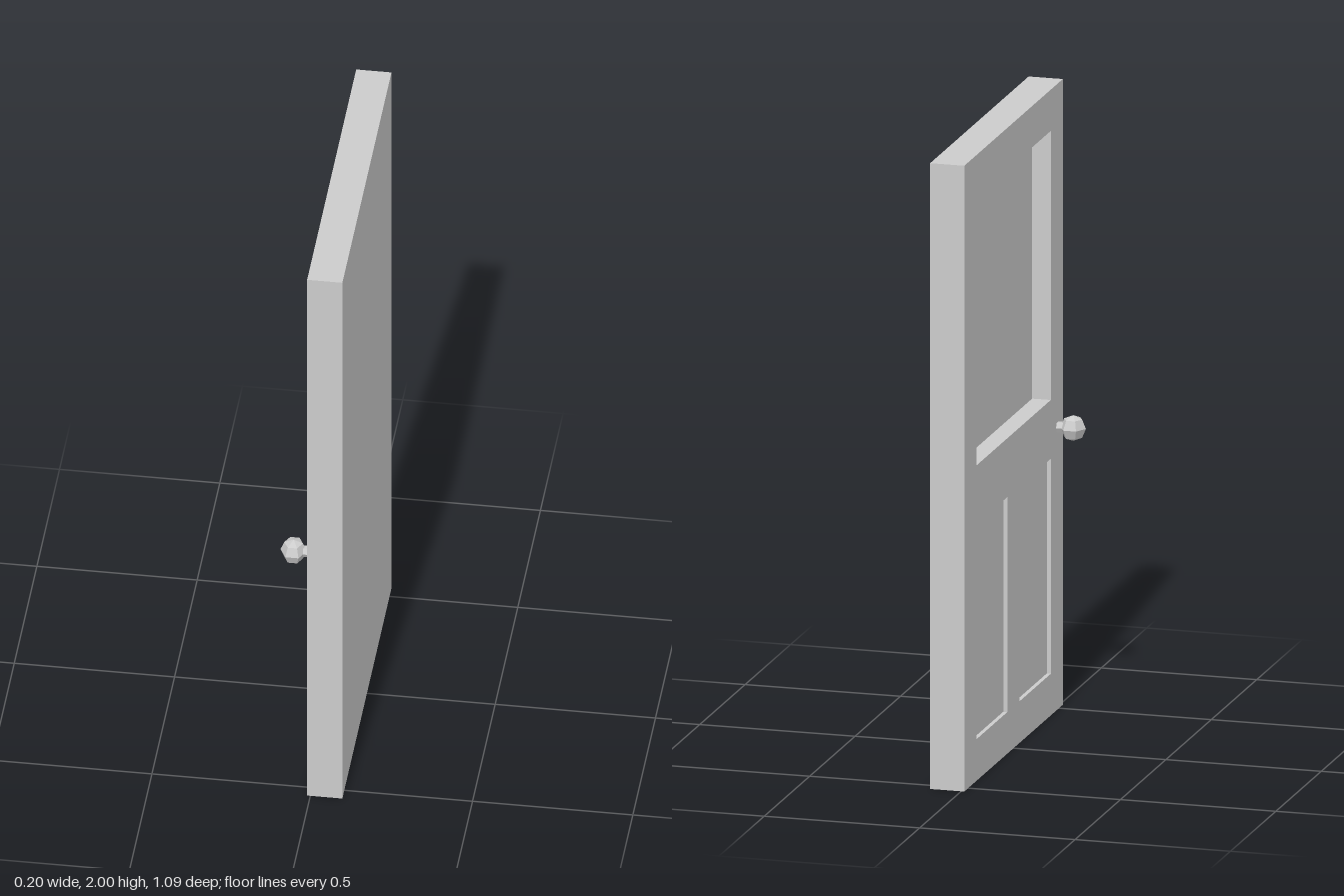
import * as THREE from 'three';

const X0 = -0.01, X1 = 0.10, HALF = 0.5425, HEIGHT = 2;

// Recessed panels: z range, y range, depth
const PANELS = [
  { name: 'upperPanel', z: [-0.41, 0.41], y: [1.008, 1.868], depth: 0.06 },
  { name: 'lowerPanelBack', z: [-0.41, -0.068], y: [0.133, 0.82], depth: 0.013 },
  { name: 'lowerPanelFront', z: [0.068, 0.41], y: [0.133, 0.82], depth: 0.013 },
];

const material = new THREE.MeshStandardMaterial({ color: 0xcccccc, flatShading: true });

function addMesh(parent, name, geometry) {
  const mesh = new THREE.Mesh(geometry, material);
  mesh.name = name;
  parent.add(mesh);
  return mesh;
}

// Box without its -x side; inward turns the faces to the inside
function openBox(x, y, z, inward) {
  const g = new THREE.BoxGeometry(x[1] - x[0], y[1] - y[0], z[1] - z[0]);
  g.translate((x[0] + x[1]) / 2, (y[0] + y[1]) / 2, (z[0] + z[1]) / 2);
  const index = Array.from(g.index.array);
  index.splice(6, 6);
  if (inward) index.reverse();
  g.setIndex(index);
  g.clearGroups();
  g.computeVertexNormals();
  return g;
}

function rectangle(target, z, y) {
  target.moveTo(z[0], y[0]);
  target.lineTo(z[1], y[0]);
  target.lineTo(z[1], y[1]);
  target.lineTo(z[0], y[1]);
  target.closePath();
  return target;
}

export function createModel() {
  const model = new THREE.Group();
  model.name = 'door';

  // Slab: plain sides and far face
  addMesh(model, 'slab', openBox([X0, X1], [0, HEIGHT], [-HALF, HALF], false));

  // Panelled face with an opening for each recess
  const shape = rectangle(new THREE.Shape(), [-HALF, HALF], [0, HEIGHT]);
  for (const p of PANELS) shape.holes.push(rectangle(new THREE.Path(), p.z, p.y));
  const face = new THREE.ShapeGeometry(shape);
  face.rotateY(-Math.PI / 2);
  face.translate(X0, 0, 0);
  addMesh(model, 'panelledFace', face);

  // Recess walls and floors
  for (const p of PANELS) {
    addMesh(model, p.name, openBox([X0, X0 + p.depth], p.y, p.z, true));
  }

  // Faceted knob on a short stem
  const knob = new THREE.Group();
  knob.name = 'knob';
  knob.position.set(-0.06, 0.903, 0.485);
  model.add(knob);
  const ball = addMesh(knob, 'knobBall', new THREE.SphereGeometry(0.041, 6, 4));
  ball.scale.z = 1.11;
  const stem = addMesh(knob, 'knobStem', new THREE.CylinderGeometry(0.018, 0.018, 0.04, 6));
  stem.rotation.z = Math.PI / 2;
  stem.position.x = 0.032;

  return model;
}
